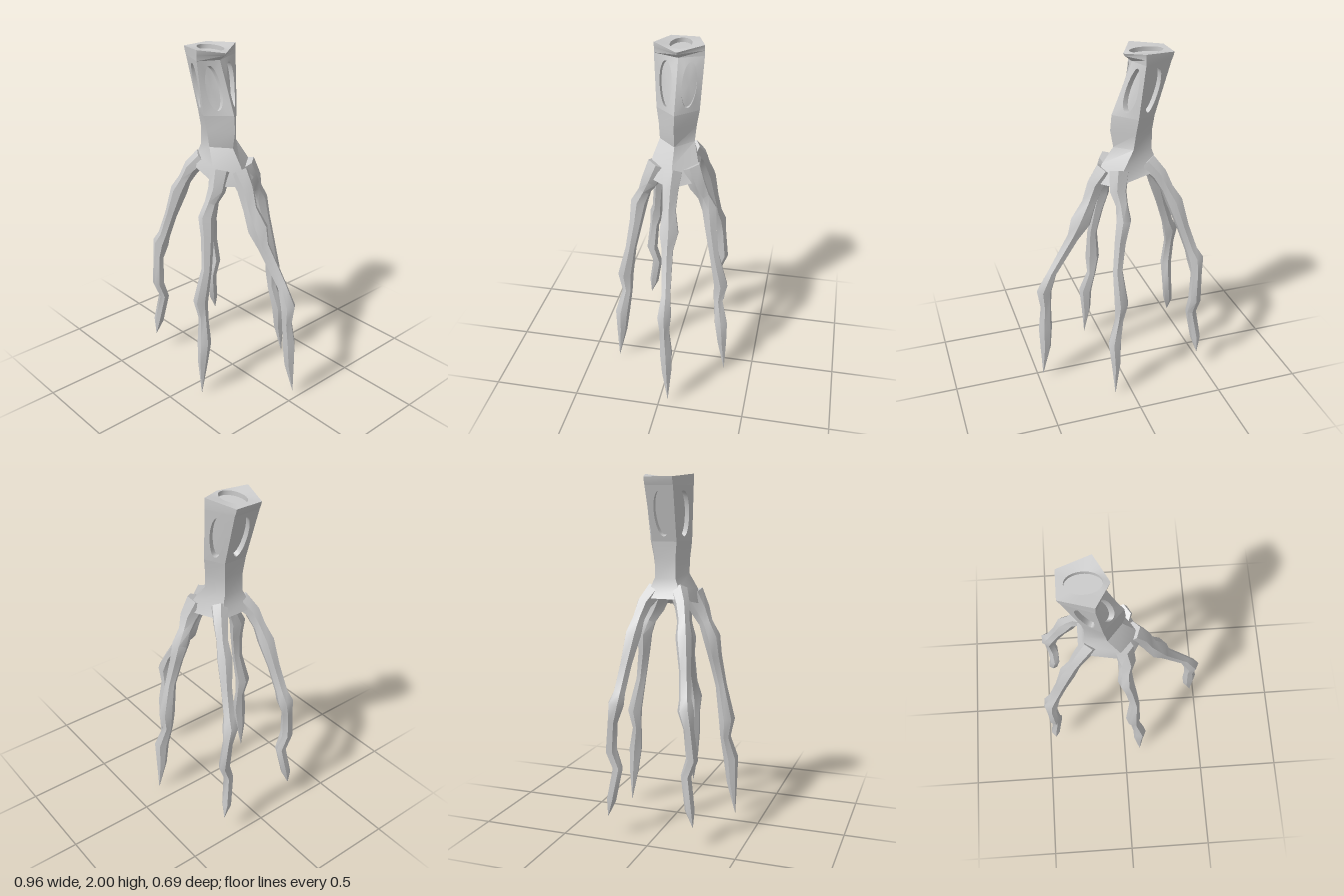
import * as THREE from 'three';
import { toCreasedNormals } from 'three/addons/utils/BufferGeometryUtils.js';

const V = (x, y, z) => new THREE.Vector3(x, y, z);
const material = new THREE.MeshStandardMaterial({ color: 0xcccccc, side: THREE.DoubleSide });

// Skin a list of closed rings; a ring of identical points closes an end
function loft(name, rings, crease = 0.6) {
  const pos = [];
  const tri = (a, b, c) => {
    const area = b.clone().sub(a).cross(c.clone().sub(a)).length();
    if (area > 1e-9) for (const p of [a, b, c]) pos.push(p.x, p.y, p.z);
  };
  for (let i = 0; i < rings.length - 1; i++) {
    const n = rings[i].length;
    for (let j = 0; j < n; j++) {
      const k = (j + 1) % n;
      tri(rings[i][j], rings[i][k], rings[i + 1][k]);
      tri(rings[i][j], rings[i + 1][k], rings[i + 1][j]);
    }
  }
  const geo = new THREE.BufferGeometry();
  geo.setAttribute('position', new THREE.Float32BufferAttribute(pos, 3));
  const mesh = new THREE.Mesh(toCreasedNormals(geo, crease), material);
  mesh.name = name;
  return mesh;
}

// Five-cornered section: front tip on +x, two side corners, two back corners
const section = ([tx, ty], [sx, sy, sz], [bx, by, bz]) => [
  V(tx, ty, 0), V(sx, sy, sz), V(bx, by, bz), V(bx, by, -bz), V(sx, sy, -sz),
];

// Wrist face with an oval recess
function recessedPanel(name, a, b, c, d) {
  const at = (u, v) => a.clone().lerp(b, u).lerp(d.clone().lerp(c, u), v);
  const normal = b.clone().sub(a).cross(d.clone().sub(a)).normalize();
  const outer = [], rim = [], floor = [], centre = [];
  const n = 24;
  for (let i = 0; i < n; i++) {
    const t = (i / n) * Math.PI * 2, cs = Math.cos(t), sn = Math.sin(t);
    const m = 0.5 / Math.max(Math.abs(cs), Math.abs(sn));
    outer.push(at(0.5 + cs * m, 0.5 + sn * m));
    const p = at(0.5 + cs * 0.29, 0.5 + sn * 0.41);
    rim.push(p);
    floor.push(p.clone().addScaledVector(normal, -0.03));
    centre.push(at(0.5, 0.5).addScaledVector(normal, -0.03));
  }
  return loft(name, [outer, rim, floor, centre]);
}

// Wrist end with an oval socket
function socketCap(corners) {
  const outer = [], rim = [], floor = [], centre = [];
  for (let i = 0; i < 5; i++) {
    for (let j = 0; j < 6; j++) {
      const p = corners[i].clone().lerp(corners[(i + 1) % 5], j / 6);
      const t = Math.atan2(p.z / 0.06, (p.x + 0.18) / 0.095);
      const x = -0.18 + Math.cos(t) * 0.095, z = Math.sin(t) * 0.06;
      outer.push(p);
      rim.push(V(x, 1.985, z));
      floor.push(V(x, 1.96, z));
      centre.push(V(-0.18, 1.96, 0));
    }
  }
  return loft('wristSocket', [outer, rim, floor, centre].map((r) => r.reverse()));
}

// Bony finger; each joint is [x, y, z, radius]
function finger(name, joints, side = 1) {
  const pts = joints.map(([x, y, z]) => V(x, y, z * side));
  const last = pts.length - 1;
  const out = pts[last].clone().sub(pts[0]).setY(0).normalize();
  const rings = pts.map((p, i) => {
    const t = pts[Math.min(i + 1, last)].clone().sub(pts[Math.max(i - 1, 0)]).normalize();
    const b = t.clone().cross(out).normalize();
    const n = b.clone().cross(t);
    return Array.from({ length: 6 }, (_, j) => {
      const a = (j / 6) * Math.PI * 2;
      const r = joints[i][3] * (j % 3 === 0 ? 1.1 : 1);
      return p.clone().addScaledVector(n, Math.cos(a) * r).addScaledVector(b, Math.sin(a) * r);
    });
  });
  rings.unshift(rings[0].map(() => pts[0].clone()));
  return loft(name, rings, 0.9);
}

export function createModel() {
  const model = new THREE.Group();
  model.name = 'skeletalHand';

  // Wrist collar
  const top = section([-0.05, 1.975], [-0.13, 2, 0.14], [-0.31, 1.985, 0.08]);
  const lip = section([-0.06, 1.96], [-0.13, 1.97, 0.14], [-0.305, 1.965, 0.08]);
  const upper = section([-0.1, 1.93], [-0.13, 1.94, 0.14], [-0.295, 1.94, 0.08]);
  model.add(socketCap(top), loft('wristCollar', [top, lip, upper]));

  // Recessed wrist faces
  const lower = section([0.015, 1.64], [-0.1, 1.64, 0.122], [-0.21, 1.64, 0.07]);
  for (let i = 0; i < 5; i++) {
    const k = (i + 1) % 5;
    model.add(recessedPanel('wristPanel' + (i + 1), upper[i], upper[k], lower[k], lower[i]));
  }

  // Palm flaring out to the finger roots
  const base = section([0.12, 1.25], [0.04, 1.27, 0.145], [-0.24, 1.33, 0.115]);
  model.add(loft('palm', [
    lower,
    section([0.023, 1.55], [-0.09, 1.55, 0.108], [-0.2, 1.55, 0.06]),
    section([0.005, 1.45], [-0.08, 1.46, 0.1], [-0.2, 1.44, 0.06]),
    section([0.07, 1.36], [-0.02, 1.37, 0.13], [-0.215, 1.38, 0.085]),
    base,
    base.map(() => V(-0.06, 1.34, 0)),
  ]));

  // Fingers
  model.add(finger('middleFinger', [
    [0.05, 1.32, 0, 0.06], [0.11, 1.24, 0, 0.05], [0.15, 1.13, 0, 0.042],
    [0.205, 1.02, -0.01, 0.06], [0.25, 0.93, -0.01, 0.036], [0.39, 0.72, -0.03, 0.028],
    [0.44, 0.61, -0.03, 0.043], [0.435, 0.5, -0.03, 0.03], [0.445, 0.36, -0.04, 0.038],
    [0.45, 0.22, -0.045, 0.03], [0.475, 0.03, -0.055, 0],
  ]));
  for (const [label, s] of [['front', 1], ['back', -1]]) {
    model.add(finger(label + 'SideFinger', [
      [0, 1.34, 0.09, 0.06], [0.02, 1.24, 0.135, 0.05], [0.01, 1.17, 0.17, 0.036],
      [0.01, 1.09, 0.205, 0.046], [0.035, 0.97, 0.22, 0.036], [0.06, 0.8, 0.25, 0.03],
      [0.05, 0.6, 0.29, 0.043], [0.06, 0.49, 0.28, 0.028], [0.095, 0.35, 0.305, 0.04],
      [0.09, 0.2, 0.315, 0.028], [0.1, 0, 0.335, 0],
    ], s));
    model.add(finger(label + 'RearFinger', [
      [-0.17, 1.37, 0.07, 0.05], [-0.23, 1.3, 0.11, 0.043], [-0.27, 1.22, 0.13, 0.035],
      [-0.31, 1.14, 0.145, 0.046], [-0.36, 0.98, 0.17, 0.034], [-0.41, 0.83, 0.19, 0.034],
      [-0.435, 0.77, 0.2, 0.046], [-0.44, 0.67, 0.22, 0.03], [-0.43, 0.5, 0.235, 0.034],
      [-0.425, 0.4, 0.2, 0.03], [-0.45, 0.22, 0.23, 0.028], [-0.455, 0.12, 0.25, 0],
    ], s));
  }
  return model;
}
